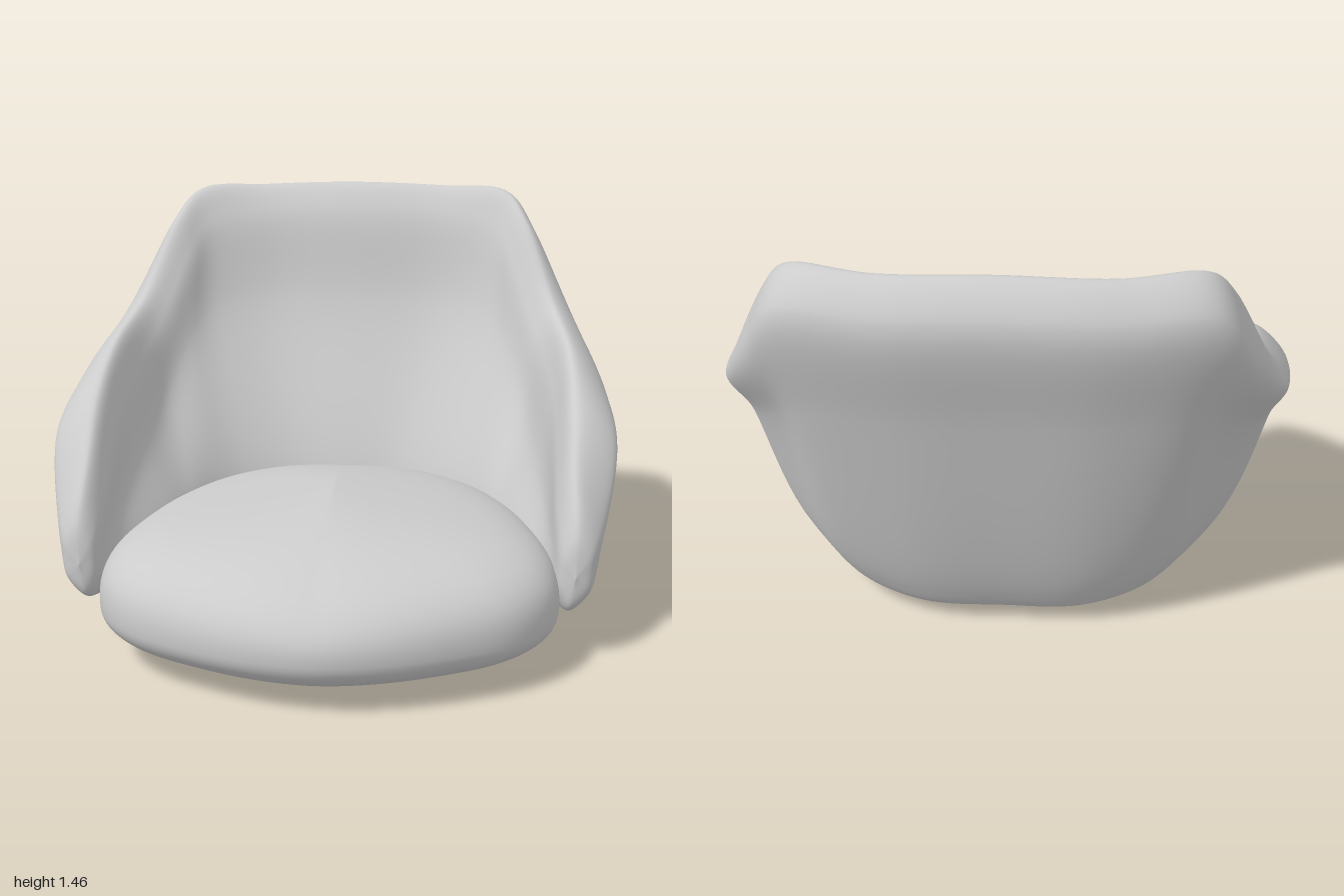
import * as THREE from 'three';

const V = (x, y, z) => new THREE.Vector3(x, y, z);
const material = new THREE.MeshStandardMaterial({ color: 0xcccccc });

// Smooth skin over a list of rows; each row is a closed ring of points
function loft(name, rows) {
  const n = rows[0].length, index = [];
  for (let i = 0; i < rows.length - 1; i++) {
    for (let j = 0; j < n; j++) {
      const k = (j + 1) % n;
      const a = i * n + j, b = i * n + k, c = a + n, d = b + n;
      index.push(a, b, c, b, d, c);
    }
  }
  const geometry = new THREE.BufferGeometry().setFromPoints(rows.flat());
  geometry.setIndex(index);
  geometry.computeVertexNormals();
  const mesh = new THREE.Mesh(geometry, material);
  mesh.name = name;
  return mesh;
}

// Rails of the shell, each from the middle of the back to the nose of the left arm
const base = [[0, .06, -.58], [.25, .06, -.57], [.44, .07, -.48], [.56, .08, -.34],
  [.65, .1, -.18], [.73, .125, .02], [.78, .135, .2], [.8, .152, .38], [.81, .19, .477]];
const outerLow = [[0, .18, -.67], [.29, .18, -.655], [.51, .19, -.56], [.64, .2, -.41],
  [.74, .2, -.24], [.82, .21, -.03], [.86, .22, .18], [.88, .23, .36], [.87, .245, .473]];
const outerMid = [[0, .95, -.908], [.33, .95, -.897], [.59, .93, -.82], [.7, .84, -.67],
  [.83, .72, -.44], [.92, .6, -.13], [.945, .52, .16], [.92, .38, .36], [.88, .32, .474]];
const edge = [[0, 1.34, -1], [.35, 1.33, -.985], [.64, 1.32, -.91], [.77, 1.12, -.77],
  [.9, .9, -.5], [.965, .77, -.15], [.975, .67, .15], [.925, .48, .36], [.875, .385, .474]];
const rim = [[0, 1.455, -.905], [.35, 1.445, -.89], [.6, 1.435, -.8], [.685, 1.33, -.68],
  [.785, 1.05, -.46], [.83, .93, -.14], [.835, .79, .14], [.825, .61, .35], [.83, .44, .474]];
const innerTop = [[0, 1.36, -.825], [.33, 1.35, -.815], [.55, 1.32, -.745], [.63, 1.2, -.63],
  [.725, .93, -.41], [.77, .8, -.12], [.775, .67, .14], [.77, .5, .35], [.79, .385, .474]];
const innerMid = [[0, 1, -.75], [.33, 1, -.74], [.52, .97, -.66], [.61, .86, -.53],
  [.68, .66, -.33], [.715, .54, -.07], [.74, .45, .15], [.755, .37, .35], [.777, .31, .473]];
const innerLow = [[0, .25, -.49], [.2, .25, -.475], [.38, .25, -.39], [.49, .25, -.27],
  [.555, .25, -.13], [.61, .25, .03], [.67, .25, .19], [.74, .24, .35], [.78, .24, .473]];
const nose = [.825, .3, .5];

// Wraparound back and arms: rings through the rails, closing at the nose of each arm
function makeShell() {
  const STEPS = 162, RING = 88;
  const rails = [base, outerLow, outerMid, edge, rim, innerTop, innerMid, innerLow].map((rail) => {
    const half = [...rail, nose];
    const right = half.slice(1).reverse().map(([x, y, z]) => V(-x, y, z));
    return new THREE.CatmullRomCurve3([...right, ...half.map((p) => V(...p))]);
  });
  const rows = [];
  for (let i = 0; i <= STEPS; i++) {
    const ring = new THREE.CatmullRomCurve3(rails.map((r) => r.getPoint(i / STEPS)), true);
    rows.push(ring.getPoints(RING).slice(0, RING));
  }
  return loft('backAndArmsShell', rows);
}

// Seat cushion: plan outline scaled along a domed profile, flatter underneath, squarer at the sides
function makeCushion() {
  const AROUND = 112, RISE = 48, MIDDLE_Z = .2, MIDDLE_Y = .2;
  const half = [[.2, .97], [.42, .885], [.62, .765], [.735, .61], [.77, .42],
    [.74, .17], [.66, -.12], [.52, -.38], [.3, -.56]];
  const outline = new THREE.CatmullRomCurve3([
    V(0, 0, 1), ...half.map(([x, z]) => V(x, 0, z)),
    V(0, 0, -.62), ...half.slice().reverse().map(([x, z]) => V(-x, 0, z)),
  ], true).getPoints(AROUND).slice(0, AROUND);
  const rows = [];
  for (let i = 0; i <= RISE; i++) {
    const phi = (i / RISE - .5) * Math.PI, below = phi < 0;
    const h = Math.pow(Math.abs(Math.sin(phi)), below ? 2 / 2.6 : 1);
    rows.push(outline.map((p) => {
      const side = Math.abs(p.x) / .77;
      const power = below ? 2.6 : 2 + .6 * side;
      const r = Math.pow(Math.max(1 - Math.pow(h, power), 0), 1 / power);
      const rise = below ? -.2 * h : .3 * (h - .1 * side * h * Math.sin(Math.PI * r));
      return V(p.x * r, MIDDLE_Y + rise, MIDDLE_Z + (p.z - MIDDLE_Z) * r);
    }));
  }
  const cushion = loft('seatCushion', rows);
  cushion.position.x = .01;
  return cushion;
}

export function createModel() {
  const chair = new THREE.Group();
  chair.name = 'tubChair';
  chair.add(makeShell(), makeCushion());
  return chair;
}
